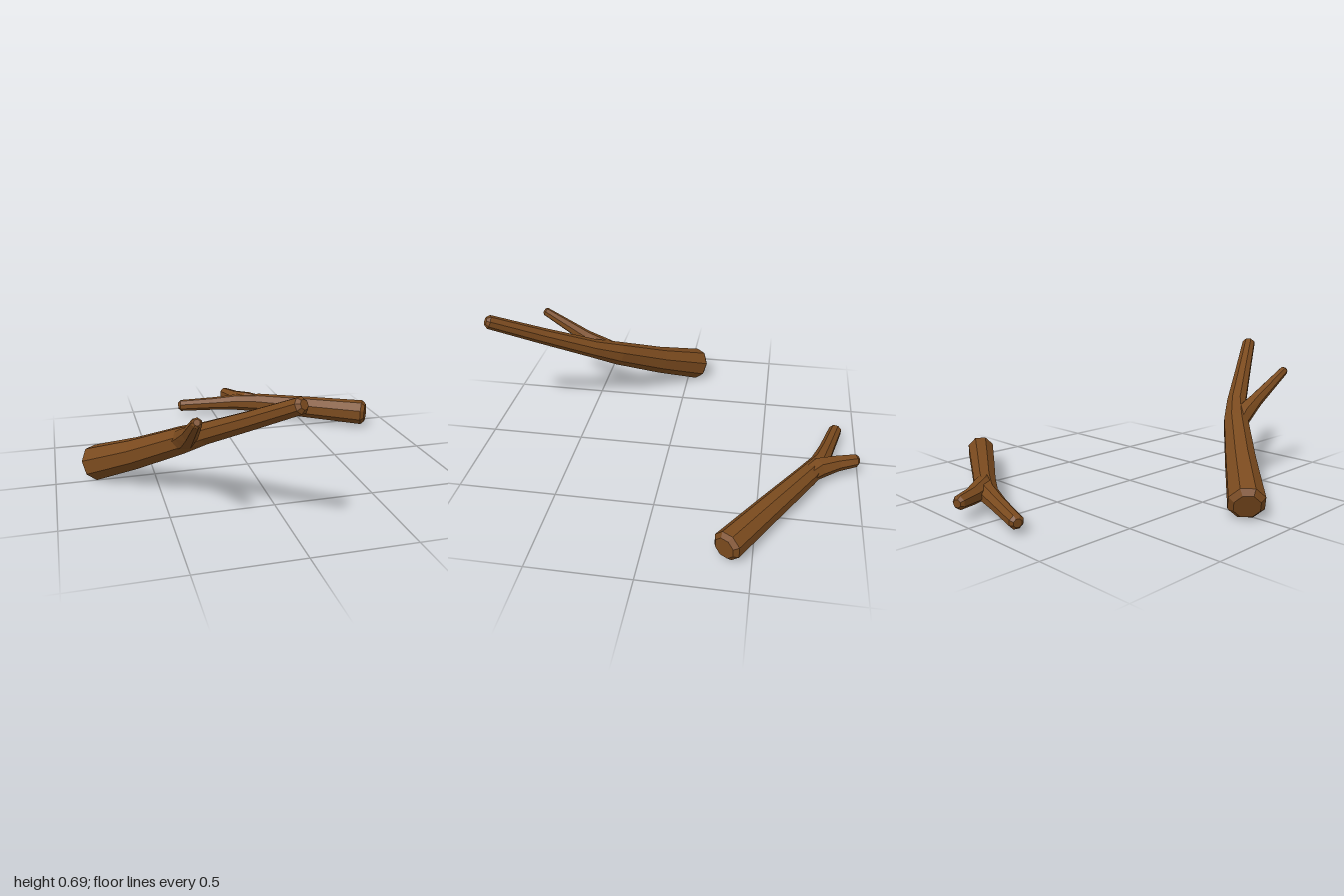
import * as THREE from 'three';

const bark = new THREE.MeshStandardMaterial({ color: 0x7a4a1e, flatShading: true, roughness: 1 });
const UP = new THREE.Vector3(0, 1, 0);

// Faceted limb lofted through stations [x, y, z, radius], with bevelled ends
function limb(name, stations, sides) {
  const pts = stations.map(s => new THREE.Vector3(s[0], s[1], s[2]));
  const last = pts.length - 1;
  const rings = [];
  pts.forEach((p, i) => {
    const t = pts[Math.min(i + 1, last)].clone().sub(pts[Math.max(i - 1, 0)]).normalize();
    const r = stations[i][3];
    const inset = p2 => p.clone().addScaledVector(t, p2 * r);
    if (i === 0) rings.push({ p, t, r: 0 }, { p, t, r: r * 0.72 }, { p: inset(0.28), t, r });
    else if (i === last) rings.push({ p: inset(-0.45), t, r }, { p, t, r: r * 0.6 }, { p, t, r: 0 });
    else rings.push({ p, t, r });
  });

  const position = [], index = [];
  rings.forEach(({ p, t, r }, i) => {
    const u = UP.clone().cross(t).normalize();
    const v = t.clone().cross(u);
    for (let j = 0; j < sides; j++) {
      const a = ((j + 0.5) / sides) * Math.PI * 2;
      const q = p.clone().addScaledVector(u, r * Math.cos(a)).addScaledVector(v, r * Math.sin(a));
      position.push(q.x, q.y, q.z);
      if (i === rings.length - 1) continue;
      const k = (j + 1) % sides, n = i * sides;
      const A = n + j, B = n + k, C = n + sides + k, D = n + sides + j;
      if (r > 0) index.push(A, B, C);
      if (rings[i + 1].r > 0) index.push(A, C, D);
      else if (r > 0) continue;
    }
  });
  const geo = new THREE.BufferGeometry();
  geo.setAttribute('position', new THREE.Float32BufferAttribute(position, 3));
  geo.setIndex(index);
  geo.computeVertexNormals();
  const mesh = new THREE.Mesh(geo, bark);
  mesh.name = name;
  return mesh;
}

function stick(name, main, twig) {
  const g = new THREE.Group();
  g.name = name;
  g.add(limb('mainBranch', main, 8), limb('sideTwig', twig, 7));
  return g;
}

export function createModel() {
  const model = new THREE.Group();
  model.name = 'fallenBranches';

  // Raised stick, thick end on the ground
  model.add(stick('raisedStick', [
    [-0.81, 0.08, -0.065, 0.092],
    [-0.60, 0.205, 0.16, 0.078],
    [-0.41, 0.335, 0.37, 0.066],
    [-0.32, 0.405, 0.49, 0.053],
    [-0.18, 0.535, 0.73, 0.044],
    [-0.035, 0.675, 0.98, 0.037],
  ], [
    [-0.43, 0.31, 0.33, 0.05],
    [-0.405, 0.37, 0.44, 0.052],
    [-0.405, 0.43, 0.55, 0.038],
    [-0.42, 0.57, 0.79, 0.024],
  ]));

  // Flat-lying stick with a short stubby fork
  model.add(stick('lyingStick', [
    [0.84, 0.1, -0.375, 0.073],
    [0.55, 0.1, -0.555, 0.065],
    [0.27, 0.098, -0.73, 0.056],
    [0.14, 0.09, -0.8, 0.05],
    [0.0, 0.08, -0.838, 0.04],
    [-0.22, 0.066, -0.895, 0.035],
  ], [
    [0.29, 0.1, -0.71, 0.045],
    [0.2, 0.102, -0.785, 0.056],
    [0.14, 0.1, -0.885, 0.042],
    [0.095, 0.1, -0.995, 0.034],
  ]));

  return model;
}
